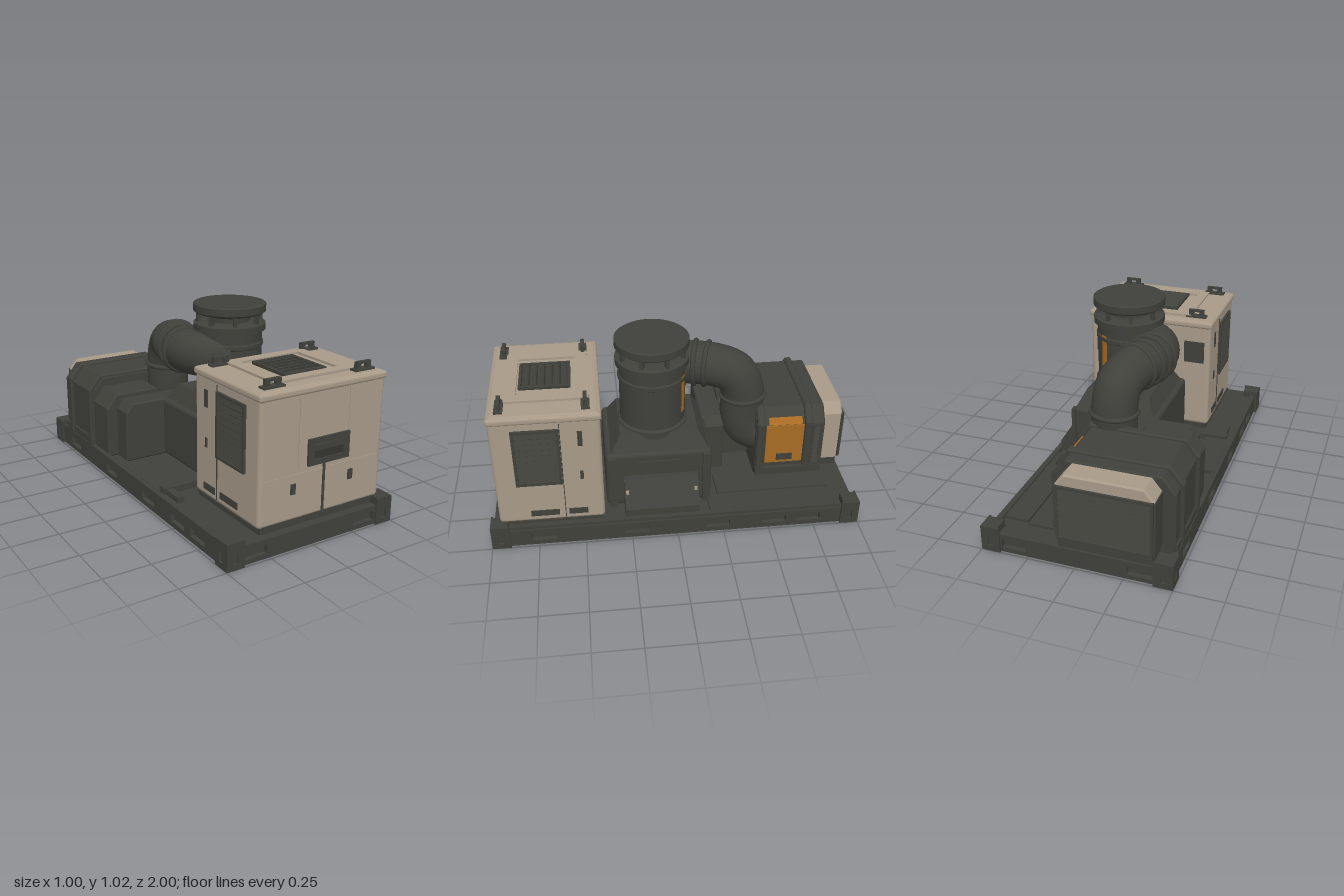
import * as THREE from 'three';
import { RoundedBoxGeometry } from 'three/addons/geometries/RoundedBoxGeometry.js';
import { toCreasedNormals } from 'three/addons/utils/BufferGeometryUtils.js';

const mat = (name, color) => Object.assign(new THREE.MeshStandardMaterial({ color }), { name });

export function createModel() {
  const dark = mat('dark grey paint', 0x40413b);
  const shade = mat('shadow grey', 0x343530);
  const tan = mat('tan paint', 0xa89a88);
  const orange = mat('orange paint', 0xa86c24);
  const model = new THREE.Group();
  model.name = 'generatorSkid';

  const add = (name, geo, material, parent = model) => {
    const m = new THREE.Mesh(geo, material);
    m.name = name;
    parent.add(m);
    return m;
  };
  const group = (name, x, y, z, ry = 0, rx = 0) => {
    const g = new THREE.Group();
    g.name = name;
    g.position.set(x, y, z);
    g.rotation.set(rx, ry, 0);
    model.add(g);
    return g;
  };
  // Box from its limits, with optional rounded edges
  const box = (name, m, x0, x1, y0, y1, z0, z1, r = 0, parent = model) => {
    const s = [x1 - x0, y1 - y0, z1 - z0];
    const b = add(name, r ? new RoundedBoxGeometry(...s, 2, r) : new THREE.BoxGeometry(...s), m, parent);
    b.position.set((x0 + x1) / 2, (y0 + y1) / 2, (z0 + z1) / 2);
    return b;
  };
  // Box whose top is shrunk by dx, dz on each side
  const frustum = (name, m, x0, x1, y0, y1, z0, z1, dx, dz) => {
    const b = box(name, m, x0, x1, y0, y1, z0, z1), p = b.geometry.attributes.position;
    for (let i = 0; i < p.count; i++) if (p.getY(i) > 0)
      p.setXYZ(i, p.getX(i) - Math.sign(p.getX(i)) * dx, p.getY(i), p.getZ(i) - Math.sign(p.getZ(i)) * dz);
    b.geometry.computeVertexNormals();
    return b;
  };
  // Prism along z with chamfered upper corners
  const hood = (name, m, x0, x1, y0, y1, z0, z1, c) => {
    const s = new THREE.Shape([[x0, y0], [x1, y0], [x1, y1 - c], [x1 - c * 0.8, y1], [x0 + c * 0.8, y1], [x0, y1 - c]]
      .map(p => new THREE.Vector2(...p)));
    const b = 0.008;
    const g = new THREE.ExtrudeGeometry(s, { depth: z1 - z0 - 2 * b, bevelThickness: b, bevelSize: b, bevelOffset: -b, bevelSegments: 1 });
    add(name, g, m).position.z = z0 + b;
  };
  // Plate in the xy plane with rectangular holes [x, y, w, h]
  const rect = (T, x, y, w, h) => new T([[-w, -h], [w, -h], [w, h], [-w, h]]
    .map(([a, b]) => new THREE.Vector2(x + a / 2, y + b / 2)));
  const holed = (name, m, w, h, d, holes, parent) => {
    const s = rect(THREE.Shape, 0, 0, w, h);
    holes.forEach(q => s.holes.push(rect(THREE.Path, ...q)));
    return add(name, new THREE.ExtrudeGeometry(s, { depth: d, bevelEnabled: false }), m, parent);
  };
  // Framed louvre facing local +z
  const louvre = (name, x, y, z, ry, w, h, n, rx = 0) => {
    const g = group(name, x, y, z, ry, rx);
    box('louvreBack', shade, -w / 2, w / 2, -h / 2, h / 2, -0.004, 0.002, 0, g);
    holed('louvreFrame', dark, w, h, 0.014, [[0, 0, w - 0.03, h - 0.03]], g);
    for (let i = 0; i < n; i++) {
      const slat = add('louvreSlat', new THREE.BoxGeometry(w - 0.03, (h - 0.03) / n * 0.8, 0.005), dark, g);
      slat.position.set(0, (h - 0.03) * ((i + 0.5) / n - 0.5), 0.007);
      slat.rotation.x = -0.4;
    }
  };
  const signs = [-1, 1];

  // Skid: core, pocketed rails, corner castings and deck plates
  box('skidCore', dark, -0.46, 0.46, 0, 0.1, -0.96, 0.96);
  for (const s of signs) {
    const end = group('endRail', 0, 0.05, s * 0.985, s > 0 ? 0 : Math.PI);
    holed('endRailPlate', dark, 0.97, 0.1, 0.03, [[-0.33, 0, 0.13, 0.05], [0.33, 0, 0.13, 0.05]], end).position.z = -0.03;
    const side = group('sideRail', s * 0.485, 0.05, 0, s * Math.PI / 2);
    holed('sideRailPlate', dark, 1.97, 0.1, 0.03, [-0.72, -0.22, 0.22, 0.53, 0.72].map(x => [x, 0, 0.13, 0.045]), side).position.z = -0.03;
    for (const t of signs) {
      const c = group('cornerCasting', s * 0.45, 0.07, t * 0.95);
      box('castingBody', dark, -0.04, 0.04, -0.07, 0.07, -0.04, 0.04, 0, c);
      for (const [px, pz, ry] of [[0, t * 0.04, t > 0 ? 0 : Math.PI], [s * 0.04, 0, s * Math.PI / 2]]) {
        const p = holed('castingFace', dark, 0.1, 0.14, 0.01, [[0, -0.015, 0.028, 0.05]], c);
        p.position.set(px, 0, pz);
        p.rotation.y = ry;
      }
    }
  }
  box('deckPlate', dark, 0.14, 0.3, 0.1, 0.115, -0.87, -0.24);
  box('deckPlate', dark, 0.31, 0.44, 0.1, 0.115, -0.85, -0.18);
  box('deckPlate', dark, -0.46, -0.32, 0.1, 0.12, -0.1, 0.28);
  box('deckBeam', dark, -0.44, -0.15, 0.1, 0.135, 0.27, 0.32);
  box('deckBeam', dark, -0.43, -0.39, 0.1, 0.13, 0.32, 0.44);
  for (const x of [-0.47, 0.46]) box('deckEdge', dark, x - 0.015, x + 0.015, 0.1, 0.118, -0.9, 0.9);

  // Tan equipment cabinet
  box('cabinetPlinth', dark, -0.28, 0.43, 0.1, 0.16, 0.4, 0.94);
  box('cabinet', tan, -0.295, 0.45, 0.13, 0.8, 0.39, 0.95, 0.022);
  box('cabinetLip', tan, -0.302, 0.457, 0.755, 0.795, 0.383, 0.956, 0.015);
  holed('roofFrame', tan, 0.48, 0.43, 0.015, [[0, 0, 0.36, 0.31]]).position.set(0.08, 0.66, 0);
  const roofFrame = model.children[model.children.length - 1];
  roofFrame.rotation.x = -Math.PI / 2;
  roofFrame.position.set(0.08, 0.797, 0.655);
  louvre('roofGrille', 0.075, 0.802, 0.665, 0, 0.25, 0.27, 6, -Math.PI / 2);
  for (const x of [-0.19, 0.35]) for (const z of [0.46, 0.89]) {
    const lug = holed('liftingLug', dark, 0.09, 0.045, 0.02, [[0, 0, 0.035, 0.02]]);
    lug.position.set(x, 0.822, z - 0.01);
    box('lugFoot', dark, x - 0.06, x + 0.06, 0.796, 0.81, z - 0.022, z + 0.022);
  }
  // Cabinet front: handle recess, centre seam, latches, lower skirts
  const handle = group('frontHandle', 0.105, 0.465, 0.95);
  box('handleBack', shade, -0.12, 0.12, -0.06, 0.06, -0.004, 0.003, 0, handle);
  holed('handleFrame', dark, 0.25, 0.135, 0.012, [[0, 0, 0.18, 0.08]], handle);
  box('handleGrip', dark, -0.09, 0.09, 0.005, 0.035, 0, 0.014, 0, handle);
  box('frontSeam', dark, 0.077, 0.091, 0.13, 0.4, 0.948, 0.954);
  for (const x of [-0.1, 0.25]) box('frontLatch', dark, x - 0.014, x + 0.014, 0.272, 0.325, 0.948, 0.956);
  for (const [a, b] of [[-0.27, -0.05], [-0.03, 0.2], [0.22, 0.42]]) box('frontSkirt', dark, a, b, 0.13, 0.143, 0.946, 0.953);
  for (const x of [-0.07, 0.23]) box('frontPanelLine', tan, x - 0.003, x + 0.003, 0.4, 0.75, 0.949, 0.953);
  box('frontPanelLine', tan, -0.28, 0.43, 0.365, 0.372, 0.949, 0.953);
  // Cabinet sides and rear
  for (const s of signs) {
    const x = s > 0 ? 0.45 : -0.295;
    const patch = (name, y0, y1, z0, z1) => box(name, dark, x - 0.005, x + 0.005, y0, y1, z0, z1);
    louvre('sideLouvre', x, 0.55, 0.72, s * Math.PI / 2, 0.24, 0.34, 9);
    patch('sideHandle', 0.61, 0.7, 0.485, 0.51);
    patch('sideLatch', 0.4, 0.45, 0.49, 0.508);
    patch('sideLatch', 0.4, 0.45, 0.6, 0.615);
    patch('sideVent', 0.17, 0.205, 0.63, 0.78);
    patch('sideVent', 0.17, 0.205, 0.48, 0.58);
    patch('sideSkirt', 0.13, 0.142, 0.42, 0.92);
    patch('sideSeam', 0.15, 0.75, 0.595, 0.599);
  }
  for (const x of [-0.2, 0.35]) box('rearPanel', dark, x - 0.06, x + 0.06, 0.54, 0.67, 0.382, 0.392);

  // Central pedestal and sloped console
  box('pedestal', dark, -0.16, 0.33, 0.1, 0.44, -0.2, 0.375, 0.025);
  frustum('pedestalShoulder', dark, -0.14, 0.32, 0.43, 0.53, -0.19, 0.35, 0.05, 0.06);
  for (const z of [-0.17, 0.34]) box('pedestalRib', dark, 0.3, 0.345, 0.1, 0.42, z - 0.02, z + 0.02);
  box('pedestalPanel', dark, 0.32, 0.338, 0.32, 0.39, -0.03, 0.21);
  const ledge = new THREE.Shape([[0, 0], [0.13, 0], [0.13, 0.06], [0.04, 0.2], [0, 0.2]].map(p => new THREE.Vector2(...p)));
  add('console', new THREE.ExtrudeGeometry(ledge, { depth: 0.4, bevelEnabled: false }), dark).position.set(0.32, 0.1, -0.12);
  for (const z of [-0.105, 0.265]) box('consoleLamp', tan, 0.395, 0.405, 0.23, 0.25, z - 0.008, z + 0.008);

  // Exhaust stack with raised cap
  const sx = 0.1, sz = 0.1;
  const lathe = (name, pts, m = dark) => {
    const g = new THREE.LatheGeometry(pts.map(p => new THREE.Vector2(...p)), 40);
    add(name, toCreasedNormals(g, 0.6), m).position.set(sx, 0, sz);
  };
  lathe('stackBody', [[0, 0.5], [0.19, 0.5], [0.19, 0.54], [0.177, 0.55], [0.177, 0.79], [0.184, 0.795], [0.184, 0.815],
    [0.177, 0.82], [0.177, 0.875], [0.196, 0.88], [0.196, 0.915], [0.17, 0.925], [0.11, 0.925], [0, 0.925]]);
  lathe('stackThroat', [[0.11, 0.92], [0.11, 0.95], [0.14, 0.975]]);
  lathe('stackCap', [[0, 0.97], [0.185, 0.97], [0.197, 0.98], [0.197, 1.018], [0.19, 1.023], [0, 1.023]]);
  for (let i = 0; i < 8; i++) {
    const a = (i + 0.5) * Math.PI / 4;
    const post = add('capPost', new THREE.BoxGeometry(0.022, 0.07, 0.022), dark);
    post.position.set(sx + 0.17 * Math.cos(a), 0.945, sz + 0.17 * Math.sin(a));
    post.rotation.y = -a;
  }
  const stripe = new THREE.CylinderGeometry(0.181, 0.181, 0.22, 8, 1, true, 2.5, 0.22);
  const stripeMesh = add('stackStripe', stripe, orange);
  stripeMesh.position.set(sx, 0.72, sz);

  // Large elbow duct from stack to engine
  const path = new THREE.CatmullRomCurve3([[0.06, 0.75, 0.16], [-0.05, 0.75, 0.1], [-0.095, 0.75, 0], [-0.075, 0.75, -0.14],
    [-0.035, 0.745, -0.27], [-0.008, 0.705, -0.37], [0, 0.6, -0.415], [0, 0.46, -0.415], [0, 0.37, -0.44], [0, 0.31, -0.54]]
    .map(p => new THREE.Vector3(...p)));
  add('duct', new THREE.TubeGeometry(path, 64, 0.121, 28), dark);
  for (const [t, r] of [[0.26, 0.122], [0.31, 0.126], [0.36, 0.122], [0.42, 0.12], [0.7, 0.12]]) {
    const ring = add('ductRing', new THREE.TorusGeometry(r, 0.014, 8, 32), dark);
    ring.position.copy(path.getPointAt(t));
    ring.lookAt(ring.position.clone().add(path.getTangentAt(t)));
  }

  // Engine housing with bands, step and orange door
  hood('engineStep', dark, -0.46, -0.08, 0.1, 0.47, -0.5, -0.3, 0.08);
  hood('engineLink', dark, -0.4, 0.05, 0.1, 0.44, -0.31, -0.18, 0.05);
  hood('engineHousing', dark, -0.47, 0.15, 0.1, 0.525, -0.87, -0.48, 0.085);
  for (const z of [-0.505, -0.775]) hood('engineBand', dark, -0.487, 0.168, 0.1, 0.54, z - 0.022, z + 0.022, 0.085);
  box('engineFoot', dark, -0.48, 0.17, 0.1, 0.16, -0.86, -0.48);
  box('engineDoor', orange, 0.148, 0.157, 0.19, 0.44, -0.75, -0.535);
  const doorTop = box('engineDoorTop', orange, -0.022, 0.022, -0.004, 0.004, -0.095, 0.095);
  doorTop.position.set(0.137, 0.459, -0.645);
  doorTop.rotation.z = -0.9;
  box('doorHandle', dark, 0.15, 0.165, 0.21, 0.25, -0.69, -0.6);
  louvre('engineVent', 0.151, 0.3, -0.825, Math.PI / 2, 0.06, 0.28, 10);

  // Radiator shroud with rear louvre
  hood('radiatorShroud', tan, -0.4, 0.095, 0.15, 0.515, -0.982, -0.86, 0.06);
  box('radiatorBase', dark, -0.39, 0.09, 0.1, 0.19, -0.975, -0.86);
  box('radiatorSide', dark, -0.405, -0.397, 0.15, 0.45, -0.98, -0.86);
  louvre('radiatorLouvre', -0.152, 0.305, -0.981, Math.PI, 0.49, 0.3, 9);
  return model;
}
